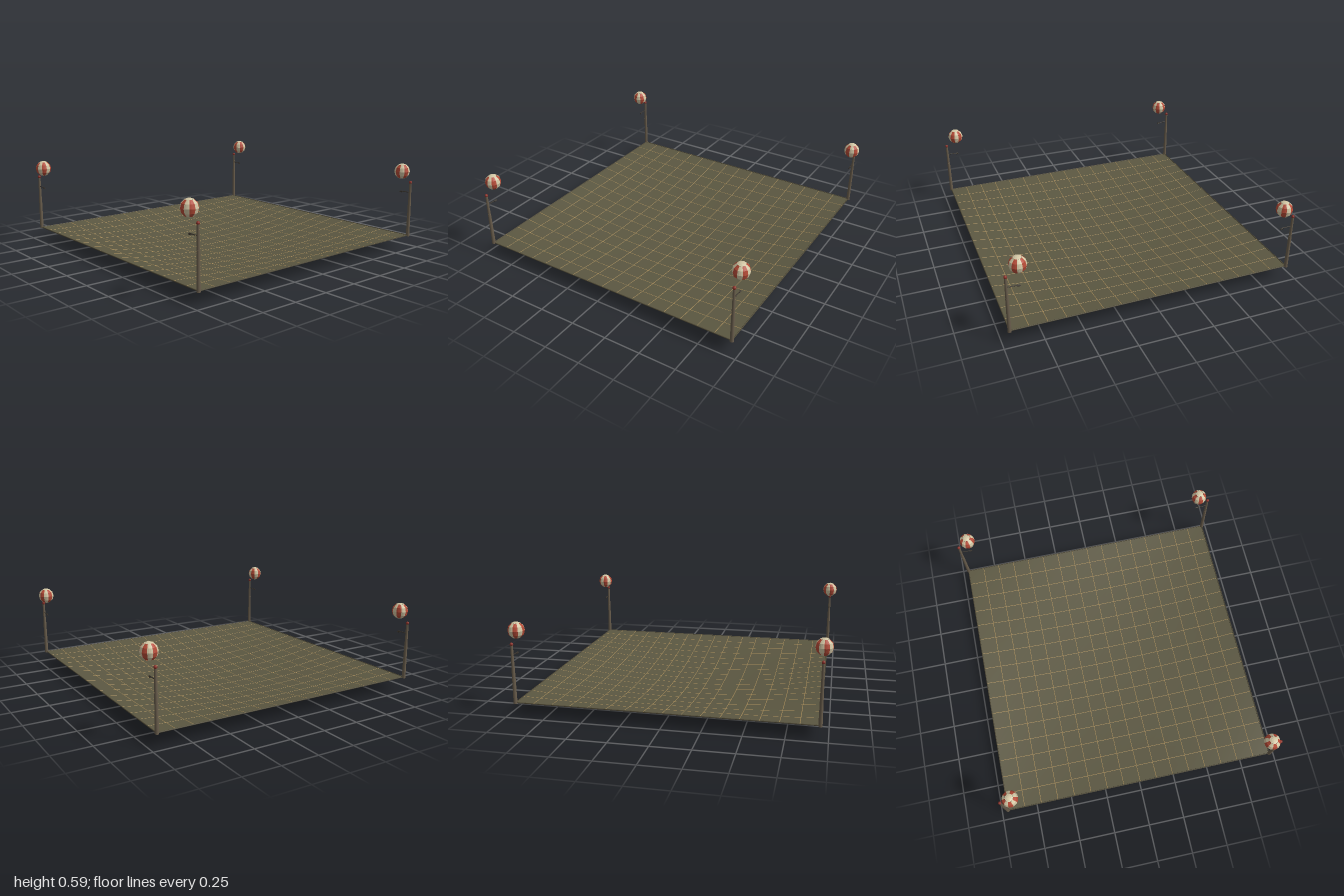
import * as THREE from 'three';

const HALF = 0.95, CELLS = 16, EDGE_Y = 0.086, SAG = 0.081;

function paint(name, color, extra = {}) {
  const m = new THREE.MeshStandardMaterial({ color, ...extra });
  m.name = name;
  return m;
}

// Height of the sagging sheet, pinned along its straight edges
function netHeight(x, z) {
  const u = x / HALF, v = z / HALF;
  return EDGE_Y - SAG * (1 - u * u) * (1 - v * v);
}

export function createModel() {
  const mats = {
    cloth: paint('olive cloth', 0x5b5741, { side: THREE.DoubleSide }),
    dark: paint('dark rope', 0x4c4633),
    tan: paint('tan rope', 0xa88c58),
    pole: paint('weathered pole', 0x685c4b),
    iron: paint('dark iron', 0x3c362e),
    cream: paint('cream', 0xd2c6a4, { flatShading: true }),
    red: paint('faded red', 0xb44a36, { flatShading: true }),
    cap: paint('dark red cap', 0x8a3028),
  };
  const model = new THREE.Group();
  model.name = 'corneredNet';

  function add(parent, name, geometry, material, x = 0, y = 0, z = 0) {
    const mesh = new THREE.Mesh(geometry, material);
    mesh.name = name;
    mesh.position.set(x, y, z);
    parent.add(mesh);
    return mesh;
  }

  // Sagging cloth
  const cloth = new THREE.PlaneGeometry(2 * HALF, 2 * HALF, CELLS, CELLS).rotateX(-Math.PI / 2);
  const p = cloth.attributes.position;
  for (let i = 0; i < p.count; i++) p.setY(i, netHeight(p.getX(i), p.getZ(i)));
  cloth.computeVertexNormals();
  add(model, 'cloth', cloth, mats.cloth);

  // Ropes following the sag in both directions
  function rope(offset, alongX, radius) {
    const path = new THREE.CurvePath();
    const points = [];
    for (let i = 0; i <= CELLS; i++) {
      const t = -HALF + (2 * HALF * i) / CELLS;
      const x = alongX ? t : offset, z = alongX ? offset : t;
      points.push(new THREE.Vector3(x, netHeight(x, z), z));
    }
    for (let i = 0; i < CELLS; i++) path.add(new THREE.LineCurve3(points[i], points[i + 1]));
    return new THREE.TubeGeometry(path, CELLS * 2, radius, 12);
  }
  for (let i = -8; i <= 8; i++) {
    const offset = (i * 2 * HALF) / CELLS, border = Math.abs(i) === 8;
    for (const alongX of [true, false]) {
      // inner ropes hang slightly under the cloth
      add(model, border ? 'borderRope' : 'netRope',
        rope(offset, alongX, border ? 0.0035 : 0.0025), border ? mats.dark : mats.tan, 0, border ? 0 : -0.0015, 0);
    }
  }

  // Striped ball: ten gores, red and cream in turn, with cream end caps
  function ball() {
    const g = new THREE.Group();
    g.name = 'stripedBall';
    const R = 0.054, gore = Math.PI / 5, capAngle = Math.PI / 6;
    for (let i = 0; i < 10; i++) {
      const isRed = i % 2 === 0;
      add(g, isRed ? 'redGore' : 'creamGore',
        new THREE.SphereGeometry(R, 1, 4, i * gore, gore, capAngle, Math.PI - 2 * capAngle),
        isRed ? mats.red : mats.cream);
    }
    add(g, 'topCap', new THREE.SphereGeometry(R, 10, 1, 0, Math.PI * 2, 0, capAngle), mats.cream);
    add(g, 'bottomCap', new THREE.SphereGeometry(R, 10, 1, 0, Math.PI * 2, Math.PI - capAngle, capAngle), mats.cream);
    return g;
  }

  // Corner post with its arm, hook and ball; "inward" points along x
  function post(sx, sz) {
    const g = new THREE.Group();
    g.name = 'cornerPost';
    g.position.set(sx * HALF, 0, sz * HALF);
    const inward = -sx;
    add(g, 'poleBase', new THREE.CylinderGeometry(0.0115, 0.0125, 0.1, 16), mats.pole, 0, 0.13, 0);
    add(g, 'poleMiddle', new THREE.CylinderGeometry(0.0105, 0.0115, 0.14, 16), mats.pole, 0, 0.25, 0);
    add(g, 'poleTop', new THREE.CylinderGeometry(0.008, 0.0095, 0.15, 16), mats.pole, 0, 0.394, 0);
    add(g, 'poleCap', new THREE.SphereGeometry(0.011, 12, 8), mats.cap, 0, 0.468, 0);
    add(g, 'arm', new THREE.CylinderGeometry(0.003, 0.003, 0.08, 12).rotateZ(Math.PI / 2), mats.iron, inward * 0.04, 0.397, 0);
    add(g, 'hook', new THREE.CylinderGeometry(0.0035, 0.0035, 0.02, 12).rotateZ(Math.PI / 2), mats.iron, inward * 0.075, 0.391, 0);
    const b = ball();
    b.position.set(inward * 0.076, 0.54, 0);
    g.add(b);
    return g;
  }
  for (const sx of [-1, 1]) for (const sz of [-1, 1]) model.add(post(sx, sz));

  return model;
}
